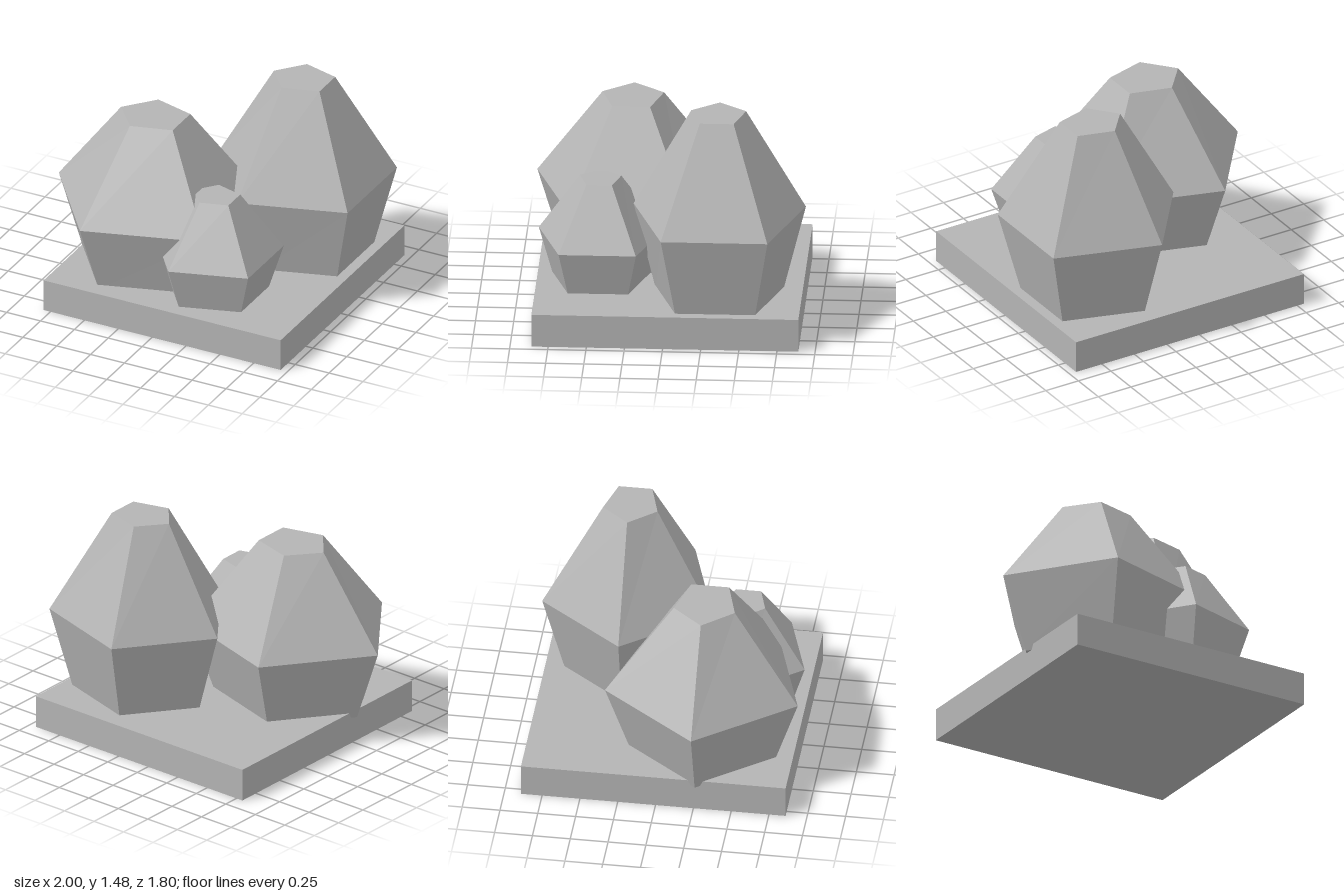
import * as THREE from 'three';

// Closed faceted solid from stacked five-sided rings, listed bottom to top as [y, radiusX, radiusZ]
function crystalGeometry(rings) {
  const SIDES = 5;
  const point = ([y, rx, rz], k) => {
    const a = Math.PI + (k * 2 * Math.PI) / SIDES;
    return [rx * Math.cos(a), y, rz * Math.sin(a)];
  };
  const pos = [];
  const tri = (...corners) => corners.forEach((c) => pos.push(...c));
  const first = rings[0];
  const last = rings[rings.length - 1];
  for (let k = 0; k < SIDES; k++) {
    // side faces
    for (let r = 0; r < rings.length - 1; r++) {
      const a = point(rings[r], k + 1), b = point(rings[r], k);
      const c = point(rings[r + 1], k), d = point(rings[r + 1], k + 1);
      tri(a, b, c);
      tri(a, c, d);
    }
    // flat caps
    tri([0, last[0], 0], point(last, k + 1), point(last, k));
    tri([0, first[0], 0], point(first, k), point(first, k + 1));
  }
  const geometry = new THREE.BufferGeometry();
  geometry.setAttribute('position', new THREE.Float32BufferAttribute(pos, 3));
  geometry.computeVertexNormals();
  return geometry;
}

export function createModel() {
  const group = new THREE.Group();
  const stone = new THREE.MeshStandardMaterial({ color: 0xb4b4b4, flatShading: true });
  stone.name = 'grey stone';

  // Square slab
  const base = new THREE.Mesh(new THREE.BoxGeometry(1.75, 0.222, 1.75), stone);
  base.name = 'base';
  base.position.set(0.075, 0.111, -0.015);
  group.add(base);

  // Three crystals, each wide at the waist and cut flat on top
  const crystals = [
    { name: 'mediumCrystal', x: -0.294, z: 0.262,
      rings: [[0.185, 0.531, 0.5], [0.685, 0.706, 0.67], [1.293, 0.247, 0.212]] },
    { name: 'tallCrystal', x: 0.492, z: -0.34,
      rings: [[0.185, 0.467, 0.437], [0.768, 0.628, 0.594], [1.477, 0.218, 0.189]] },
    { name: 'smallCrystal', x: 0.258, z: 0.446,
      rings: [[0.185, 0.342, 0.325], [0.52, 0.454, 0.431], [0.925, 0.165, 0.143]] },
  ];
  for (const { name, x, z, rings } of crystals) {
    const mesh = new THREE.Mesh(crystalGeometry(rings), stone);
    mesh.name = name;
    mesh.position.set(x, 0, z);
    group.add(mesh);
  }
  return group;
}
